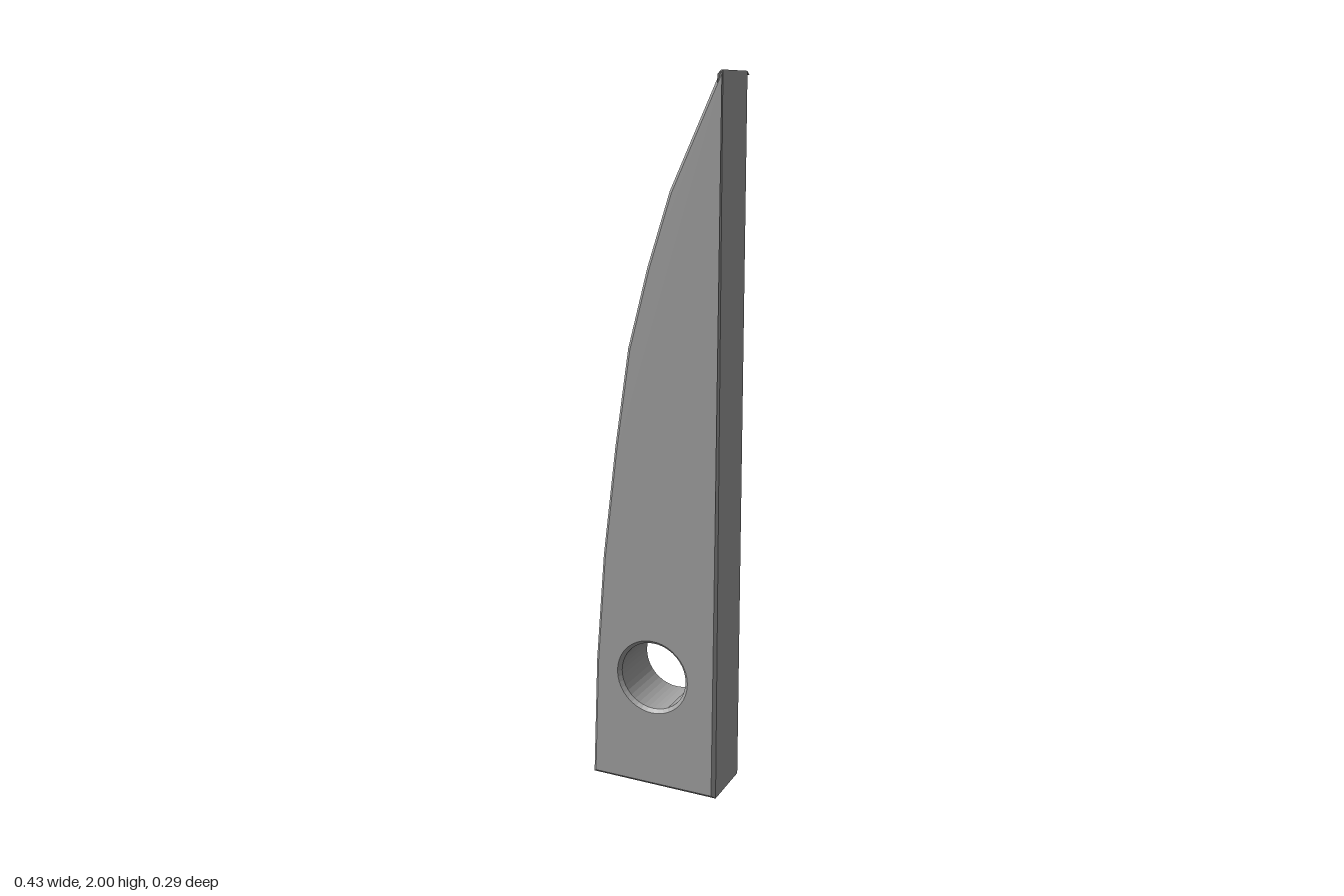
import * as THREE from 'three';

export function createModel() {
  const group = new THREE.Group();
  const grey = new THREE.MeshStandardMaterial({ color: 0xa0a0a0 });
  grey.name = 'grey';

  // Blade outline: straight right edge, faceted curve on the left
  const curve = [[0.19, 2], [0.05, 1.7], [-0.015, 1.5], [-0.073, 1.28],
    [-0.115, 1.0], [-0.155, 0.68], [-0.181, 0.36], [-0.195, 0]];
  const outline = new THREE.Shape();
  outline.moveTo(-0.195, 0);
  outline.lineTo(0.195, 0);
  outline.lineTo(0.195, 2);
  for (const [x, y] of curve.slice(0, -1)) outline.lineTo(x, y);
  outline.closePath();

  // Round mounting hole
  const hole = new THREE.Path();
  hole.absarc(0, 0.34, 0.1, 0, Math.PI * 2, true);
  outline.holes.push(hole);

  // Chamfered plate, centred on its thickness
  const depth = 0.184, bevel = 0.01;
  const geometry = new THREE.ExtrudeGeometry(outline, {
    depth: depth - 2 * bevel,
    bevelThickness: bevel,
    bevelSize: bevel,
    bevelOffset: -bevel,
    bevelSegments: 1,
    curveSegments: 20,
  });
  geometry.translate(0, 0, -depth / 2 + bevel);

  const blade = new THREE.Mesh(geometry, grey);
  blade.name = 'blade';
  blade.rotation.y = THREE.MathUtils.degToRad(18);
  group.add(blade);
  return group;
}
